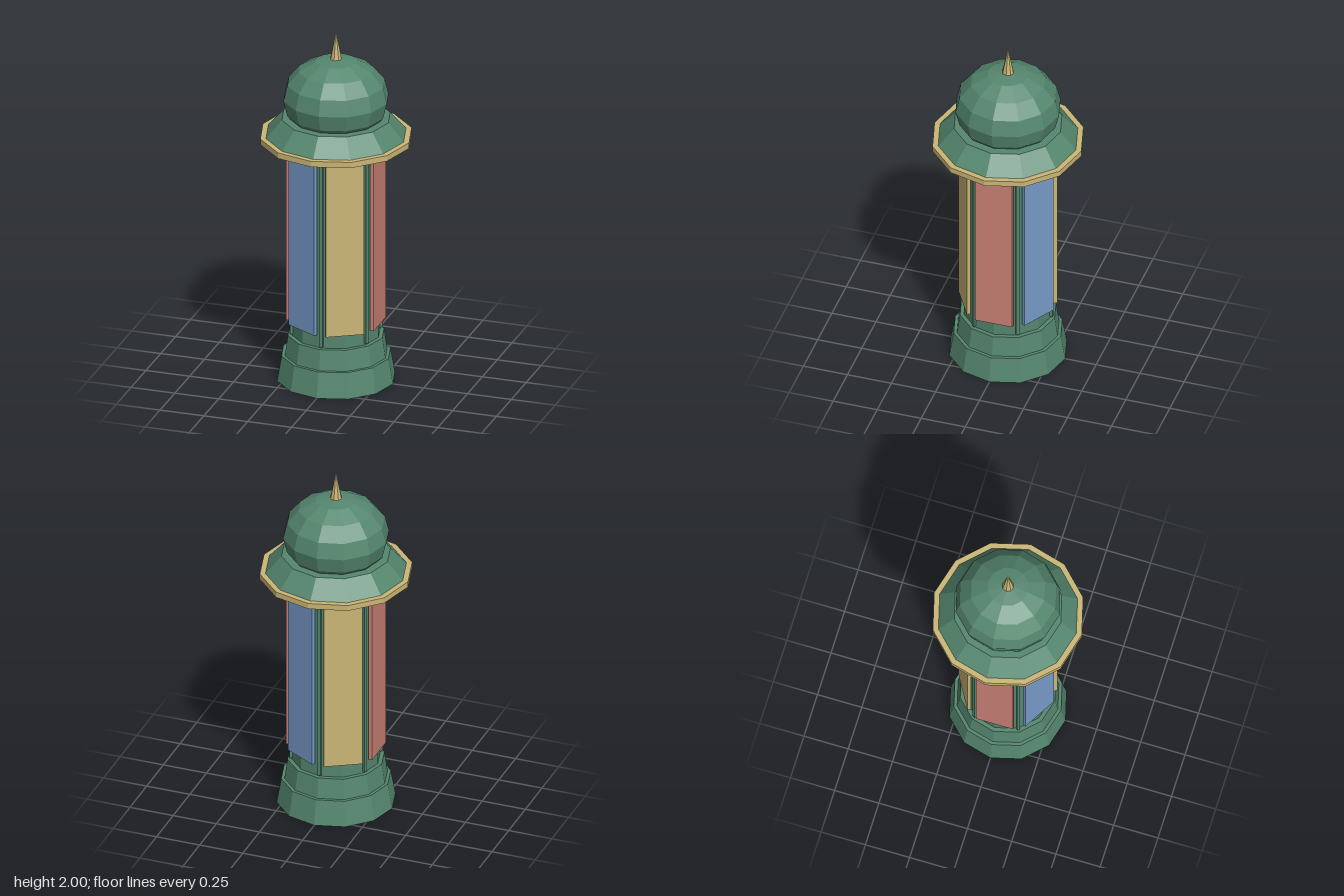
import * as THREE from 'three';

export function createModel() {
  const model = new THREE.Group();
  const paint = (name, color) => {
    const m = new THREE.MeshStandardMaterial({ color, flatShading: true });
    m.name = name;
    return m;
  };
  const green = paint('green metal', 0x55876f);
  const gold = paint('gold', 0xcbb676);
  const red = paint('red poster', 0xcb8175);
  const blue = paint('blue poster', 0x789bca);

  const add = (name, geometry, material, x = 0, y = 0, z = 0) => {
    const mesh = new THREE.Mesh(geometry, material);
    mesh.name = name;
    mesh.position.set(x, y, z);
    model.add(mesh);
    return mesh;
  };
  // Faceted tier between two heights
  const tier = (name, material, y0, y1, r0, r1, sides = 12) =>
    add(name, new THREE.CylinderGeometry(r1, r0, y1 - y0, sides), material, 0, (y0 + y1) / 2);

  // Plinth and column
  tier('basePlinth', green, 0, 0.145, 0.325, 0.3);
  tier('upperPlinth', green, 0.145, 0.262, 0.282, 0.265);
  tier('column', green, 0.262, 1.395, 0.242, 0.242);

  // Upright box facing outwards at an angle measured from the front
  const upright = (name, material, angle, radius, width, depth, y0, y1) => {
    const mesh = add(name, new THREE.BoxGeometry(width, y1 - y0, depth), material,
      Math.sin(angle) * radius, (y0 + y1) / 2, Math.cos(angle) * radius);
    mesh.rotation.y = angle;
  };

  // Poster panels alternate with thin dividing ribs
  const posters = [gold, red, blue];
  for (let i = 0; i < 6; i++) {
    const a = (i * Math.PI) / 3;
    upright('rib', green, a, 0.24, 0.018, 0.03, 0.272, 1.395);
    upright('posterPanel', posters[i % 3], a + Math.PI / 6, 0.24, 0.21, 0.02, 0.34, 1.355);
  }

  // Brim, sloping roof, dome and spire
  tier('brim', gold, 1.392, 1.425, 0.417, 0.417);
  tier('roofSkirt', green, 1.425, 1.525, 0.386, 0.298);
  const dome = add('dome', new THREE.SphereGeometry(0.29, 12, 8), green, 0, 1.635);
  dome.scale.y = 0.8;
  tier('spire', gold, 1.853, 2, 0.034, 0.005, 8);

  return model;
}
